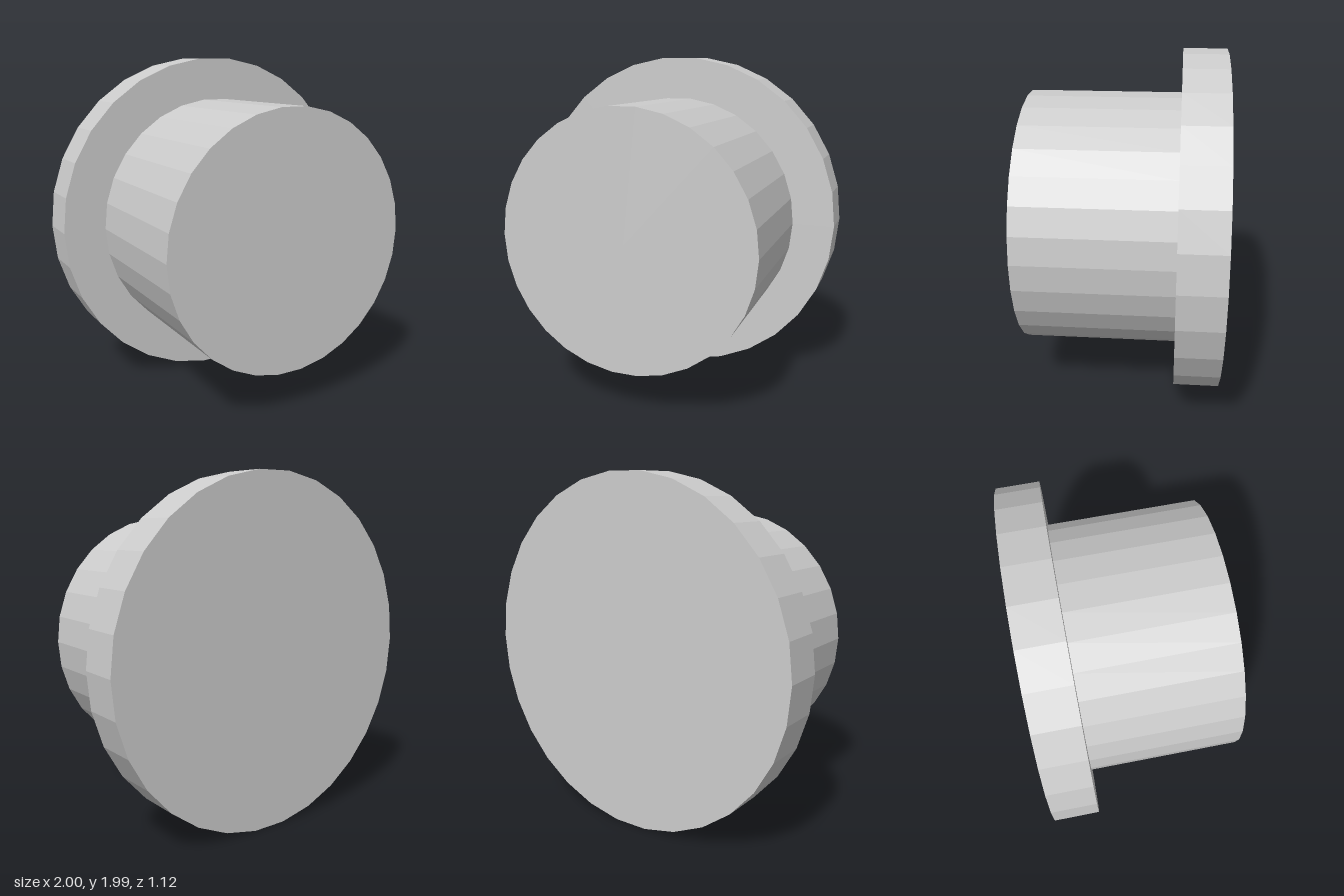
import * as THREE from 'three';

const SIDES = 30;
// Distance from the axis to the flat on which the flange rests
const AXIS_HEIGHT = Math.cos(Math.PI / SIDES);

// Faceted disc lying along z, with corners on the x axis
function disc(name, radius, zBack, zFront, material) {
  const geometry = new THREE.CylinderGeometry(
    radius, radius, zFront - zBack, SIDES, 1, false, Math.PI / 2);
  geometry.rotateX(Math.PI / 2);
  const mesh = new THREE.Mesh(geometry, material);
  mesh.name = name;
  mesh.position.set(0, AXIS_HEIGHT, (zBack + zFront) / 2);
  return mesh;
}

export function createModel() {
  const material = new THREE.MeshStandardMaterial({ color: 0xcccccc, flatShading: true });
  const group = new THREE.Group();
  group.name = 'flangedPlug';
  group.add(
    disc('flange', 1, -0.5625, -0.3125, material), // wide back plate
    disc('plugBody', 0.75, -0.3125, 0.5625, material) // narrower front barrel
  );
  return group;
}
